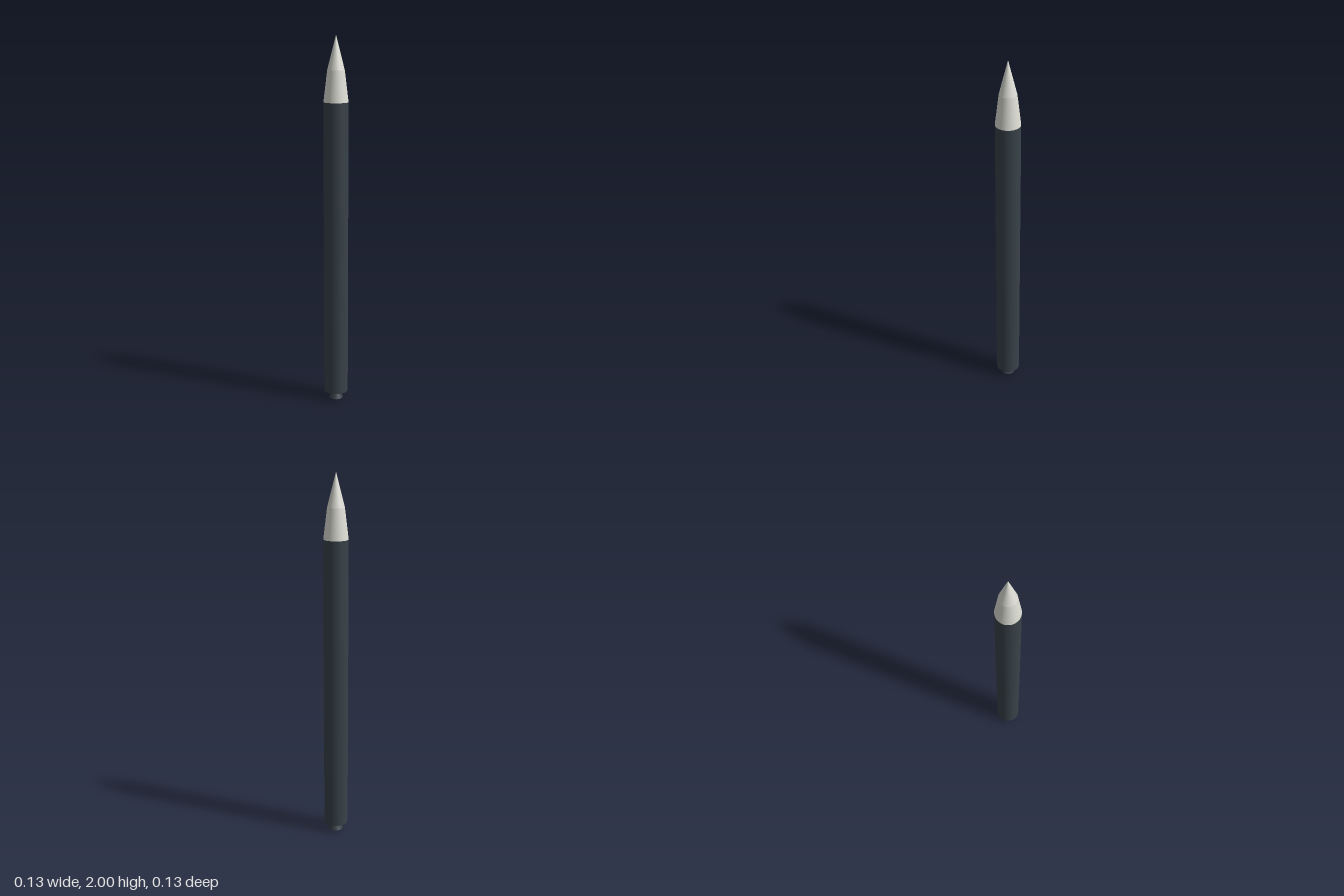
import * as THREE from 'three';

export function createModel() {
  const model = new THREE.Group();
  const material = (name, color) => {
    const m = new THREE.MeshStandardMaterial({ color });
    m.name = name;
    return m;
  };
  const dark = material('dark slate', 0x384249);
  const pale = material('pale grey', 0xe0e0d8);
  const R = 0.066;

  // One round section between two heights
  const section = (name, mat, y0, y1, r0, r1, open = false) => {
    const mesh = new THREE.Mesh(new THREE.CylinderGeometry(r1, r0, y1 - y0, 48, 1, open), mat);
    mesh.position.y = (y0 + y1) / 2;
    mesh.name = name;
    model.add(mesh);
  };

  // Flared engine nozzle under the body
  section('engineNozzle', dark, 0, 0.045, 0.038, 0.02);

  // Two stacked stages
  section('lowerStage', dark, 0.043, 1.113, R, R);
  section('upperStage', dark, 1.113, 1.655, R, R);

  // Nose in two tapers, with a crease between them
  section('noseBase', pale, 1.655, 1.82, R, 0.046, true);
  section('noseTip', pale, 1.82, 2, 0.046, 0, true);

  return model;
}
